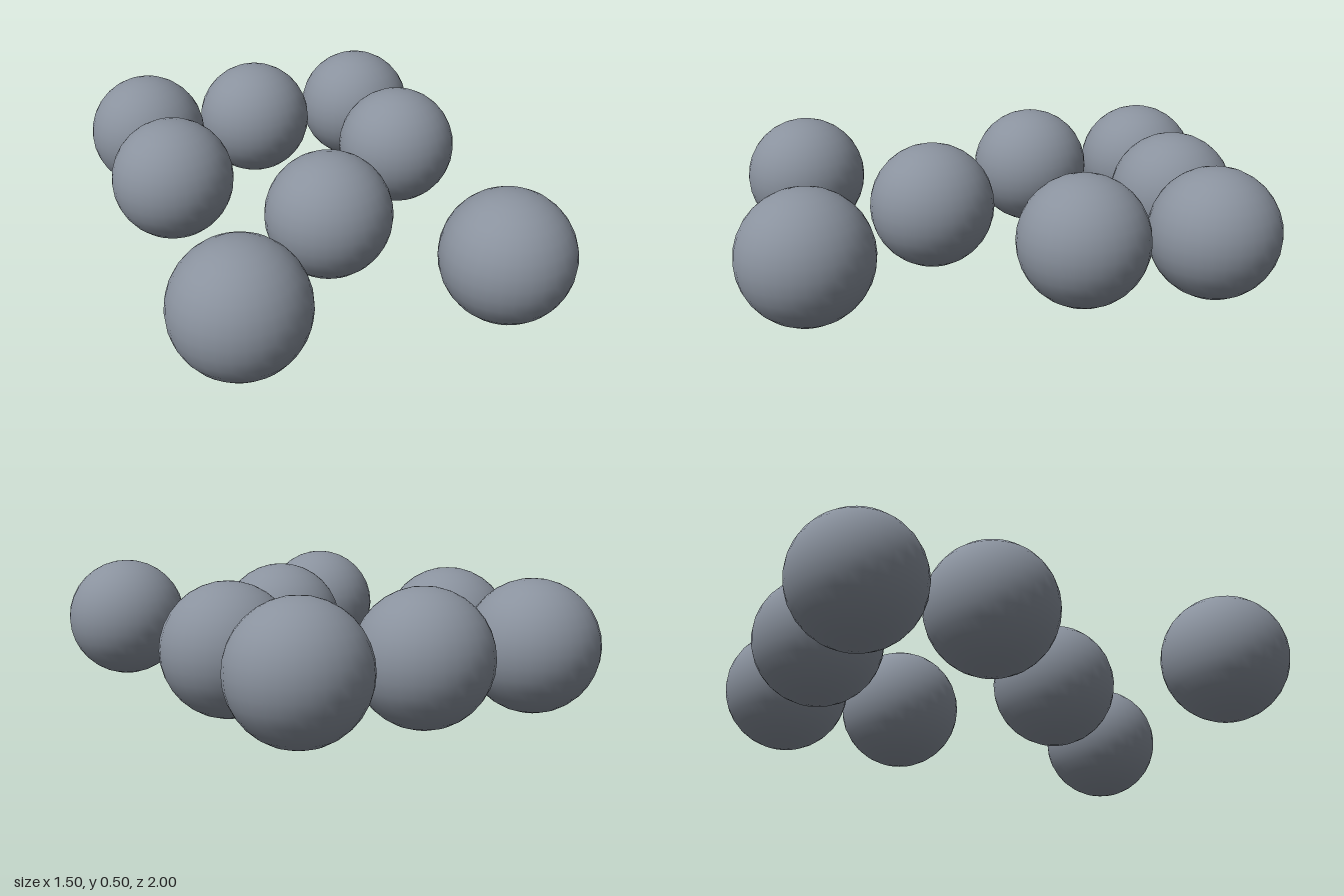
import * as THREE from 'three';

export function createModel() {
  const model = new THREE.Group();
  model.name = 'sphereArrangement';

  const slateGrey = new THREE.MeshStandardMaterial({ color: 0x8a929e });
  slateGrey.name = 'slateGrey';

  const radius = 0.25;
  const ball = new THREE.SphereGeometry(radius, 32, 16);

  // Rows of balls on a half-unit grid, from back to front
  const rows = [
    { name: 'backRow', z: -0.75, xs: [-0.5, 0, 0.5] },
    { name: 'middleRow', z: -0.25, xs: [-0.5, 0.5] },
    { name: 'centreRow', z: 0.25, xs: [0] },
    { name: 'frontRow', z: 0.75, xs: [-0.5, 0.5] },
  ];

  for (const { name, z, xs } of rows) {
    const row = new THREE.Group();
    row.name = name;
    for (const x of xs) {
      const mesh = new THREE.Mesh(ball, slateGrey);
      mesh.name = x < 0 ? 'rightBall' : x > 0 ? 'leftBall' : 'centreBall';
      mesh.position.set(x, radius, z);
      row.add(mesh);
    }
    model.add(row);
  }

  return model;
}
